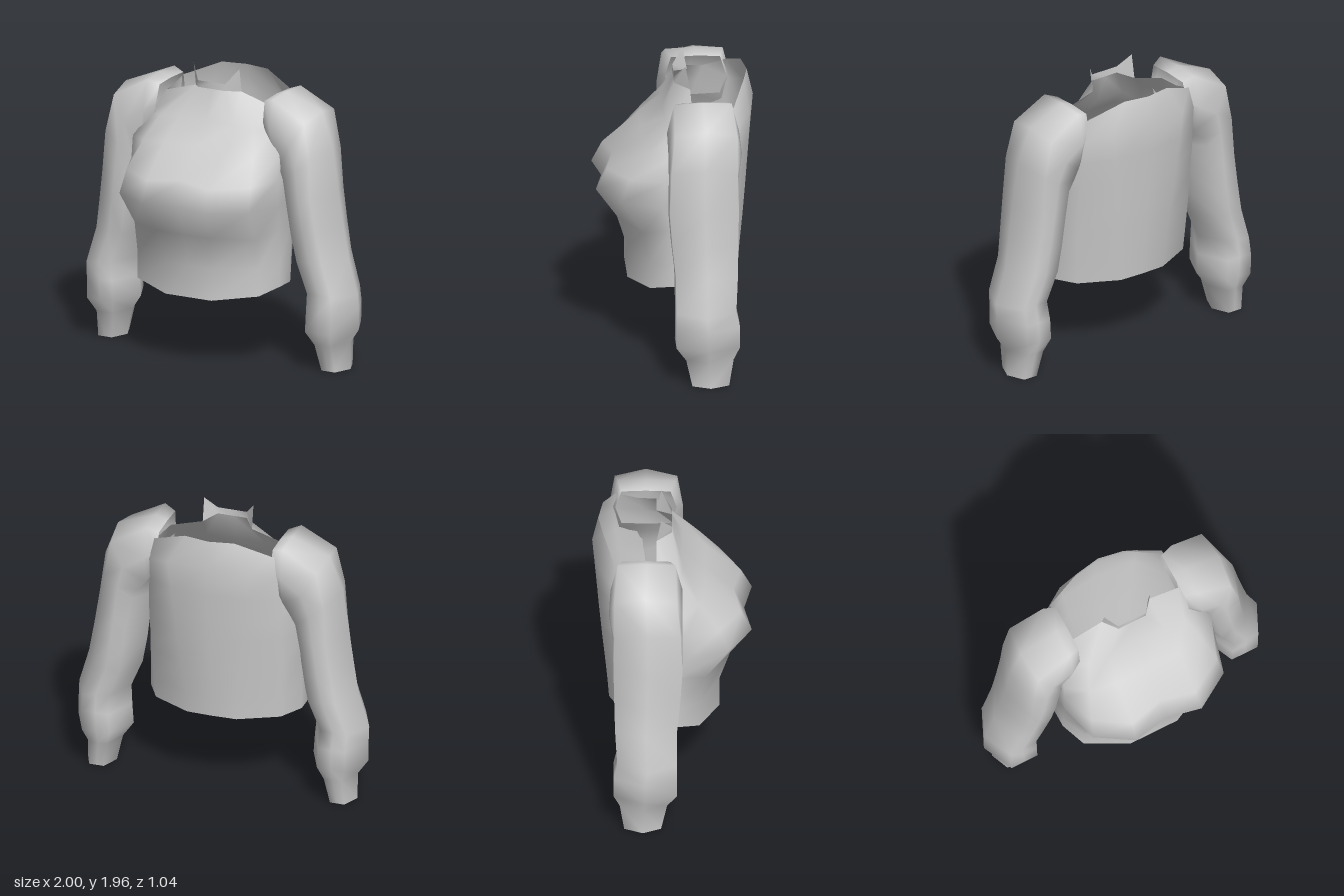
import * as THREE from 'three';

const fabric = new THREE.MeshStandardMaterial({ color: 0xcccccc, side: THREE.DoubleSide });
fabric.name = 'greyFabric';

// Skin a list of cross-sections (arrays of [x, y, z]) into one smooth surface
function skin(name, rings, closed, flip = false) {
  const n = rings[0].length, index = [];
  for (let r = 0; r < rings.length - 1; r++) {
    for (let i = 0; i < (closed ? n : n - 1); i++) {
      const j = (i + 1) % n;
      const a = r * n + i, b = r * n + j, c = b + n, d = a + n;
      if (flip) index.push(a, c, b, a, d, c);
      else index.push(a, b, c, a, c, d);
    }
  }
  const geo = new THREE.BufferGeometry();
  geo.setAttribute('position', new THREE.Float32BufferAttribute(rings.flat(2), 3));
  geo.setIndex(index);
  geo.computeVertexNormals();
  const mesh = new THREE.Mesh(geo, fabric);
  mesh.name = name;
  return mesh;
}

// Half section from centre front to centre back, mirrored to a full loop
const mirrorLoop = (half) => [
  ...half,
  ...half.slice(1, -1).reverse().map(([x, y, z]) => [-x, y, z]),
];

// Torso shell: hem, waist, under-bust, bust, chest, shoulders, neckline
function torso() {
  const hem = [[0, .485, .31], [.17, .485, .31], [.45, .52, .18], [.52, .555, .02],
    [.52, .555, -.12], [.43, .555, -.28], [.17, .555, -.41], [0, .555, -.415]];
  const waist = [[0, .7, .31], [.17, .7, .31], [.45, .7, .18], [.52, .7, .02],
    [.52, .7, -.12], [.44, .7, -.29], [.18, .7, -.42], [0, .7, -.43]];
  const underBust = [[0, .92, .36], [.2, .93, .38], [.45, .91, .22], [.52, .95, .04],
    [.52, .95, -.13], [.45, .93, -.31], [.2, .93, -.44], [0, .93, -.455]];
  const bust = [[0, 1.14, .47], [.24, 1.14, .52], [.48, 1.14, .37], [.55, 1.12, .1],
    [.53, 1.12, -.13], [.45, 1.15, -.33], [.23, 1.15, -.455], [0, 1.15, -.475]];
  const upperBust = [[0, 1.3, .4], [.23, 1.28, .45], [.46, 1.29, .31], [.545, 1.3, .09],
    [.53, 1.3, -.13], [.45, 1.3, -.35], [.24, 1.3, -.465], [0, 1.3, -.487]];
  const chest = [[0, 1.48, .21], [.23, 1.48, .22], [.41, 1.46, .18], [.54, 1.45, .08],
    [.5, 1.45, -.14], [.44, 1.46, -.37], [.26, 1.48, -.475], [0, 1.48, -.502]];
  const shoulder = [[0, 1.62, .07], [.2, 1.62, .07], [.35, 1.61, .06], [.45, 1.6, 0],
    [.46, 1.6, -.18], [.44, 1.62, -.385], [.28, 1.67, -.48], [0, 1.69, -.52]];
  const neckline = [[0, 1.82, 0], [.1, 1.82, 0], [.17, 1.8, -.1], [.39, 1.735, -.1],
    [.42, 1.72, -.22], [.41, 1.765, -.37], [.17, 1.865, -.45], [0, 1.865, -.48]];
  return skin('torso',
    [hem, waist, underBust, bust, upperBust, chest, shoulder, neckline].map(mirrorLoop), true);
}

// Sleeve ring between an outer and an inner point, with front/back depth;
// k and m set how square the corners are
function sleeveRing([ox, oy, ix, iy, front, back, k, m], side) {
  const cx = (ox + ix) / 2, cy = (oy + iy) / 2, cz = (front + back) / 2;
  const hx = (ox - ix) / 2, hy = (oy - iy) / 2, hz = (front - back) / 2;
  const outline = [[1, 0], [k, m], [0, 1], [-k, m], [-1, 0], [-k, -m], [0, -1], [k, -m]];
  return outline.map(([u, v]) => [side * (cx + u * hx), cy + u * hy, cz + v * hz]);
}

// Sleeve from shoulder end to cuff
const sleeveSections = [
  [.39, 1.8, .41, 1.52, .03, -.37, .95, .8],
  [.47, 1.83, .47, 1.42, .07, -.4, .95, .8],
  [.73, 1.73, .5, 1.33, .07, -.41, .8, .85],
  [.82, 1.49, .5, 1.25, .07, -.385, .6, .95],
  [.86, 1.2, .51, 1.1, .07, -.38, .5, 1],
  [.895, .97, .53, .92, .055, -.375, .5, 1],
  [.93, .76, .56, .74, .035, -.37, .5, 1],
  [1, .52, .64, .55, .035, -.355, .5, 1],
  [1, .42, .63, .42, .035, -.38, .5, 1],
  [1, .28, .62, .28, .035, -.38, .5, 1],
  [.93, .18, .69, .18, -.03, -.34, .5, 1],
  [.93, 0, .73, 0, -.07, -.31, .5, 1],
];

// Stand-up collar with two raised points
function collar() {
  const strip = (half) => [...half.slice(1).reverse().map(([x, y, z]) => [-x, y, z]), ...half];
  return skin('collar', [
    strip([[0, 1.82, 0], [.1, 1.82, 0], [.17, 1.8, -.1]]),
    strip([[0, 1.865, 0], [.1, 1.865, 0], [.17, 1.96, -.07]]),
  ], false);
}

export function createModel() {
  const group = new THREE.Group();
  group.name = 'longSleevedTop';
  group.add(torso(), collar());
  for (const side of [1, -1]) {
    const rings = sleeveSections.map((s) => sleeveRing(s, side));
    group.add(skin(side > 0 ? 'leftSleeve' : 'rightSleeve', rings, true, side < 0));
  }
  return group;
}
